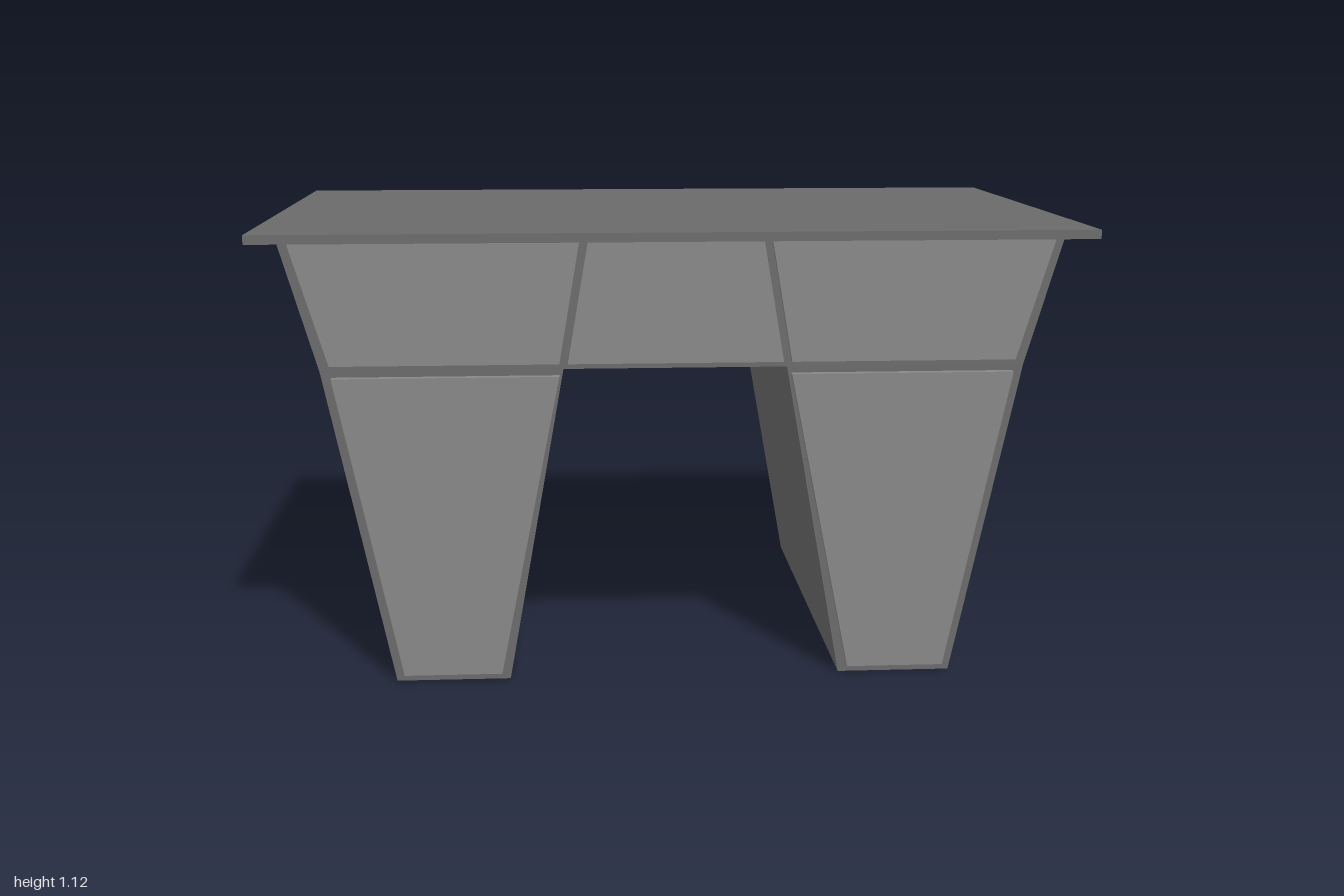
import * as THREE from 'three';

const bodyMaterial = new THREE.MeshStandardMaterial({ color: 0x6a6a6a, flatShading: true });
const frontMaterial = new THREE.MeshStandardMaterial({ color: 0x878787, flatShading: true });

// Extrudes an outline in the xy plane from z0 to z1
function slab(name, points, z0, z1, material) {
  const shape = new THREE.Shape(points.map(([x, y]) => new THREE.Vector2(x, y)));
  const geometry = new THREE.ExtrudeGeometry(shape, { depth: z1 - z0, bevelEnabled: false });
  geometry.translate(0, 0, z0);
  const mesh = new THREE.Mesh(geometry, material);
  mesh.name = name;
  return mesh;
}

const mirrored = (points) => points.map(([x, y]) => [-x, y]).reverse();

export function createModel() {
  const desk = new THREE.Group();
  desk.name = 'desk';

  // Overhanging table top
  const top = new THREE.Mesh(new THREE.BoxGeometry(2, 0.022, 1.268), bodyMaterial);
  top.name = 'tableTop';
  top.position.y = 1.105;
  desk.add(top);

  // Body: two tapering pedestals joined by a bridge over the knee space
  const half = [[0.27, 0.781], [0.41, 0], [0.69, 0], [0.85, 0.781], [0.94, 1.094]];
  desk.add(slab('body', [...half, ...mirrored(half)], -0.55, 0.547, bodyMaterial));

  // Raised, lighter door and drawer fronts
  const fronts = {
    Door: [[0.43, 0.02], [0.67, 0.02], [0.822, 0.766], [0.28, 0.766]],
    Drawer: [[0.28, 0.796], [0.825, 0.796], [0.912, 1.087], [0.23, 1.087]],
  };
  for (const [part, outline] of Object.entries(fronts)) {
    desk.add(slab('left' + part, outline, 0.547, 0.568, frontMaterial));
    desk.add(slab('right' + part, mirrored(outline), 0.547, 0.568, frontMaterial));
  }
  const centre = [[0.26, 0.796], [0.21, 1.087]];
  desk.add(slab('centreDrawer', [...centre, ...mirrored(centre)], 0.547, 0.568, frontMaterial));

  return desk;
}
